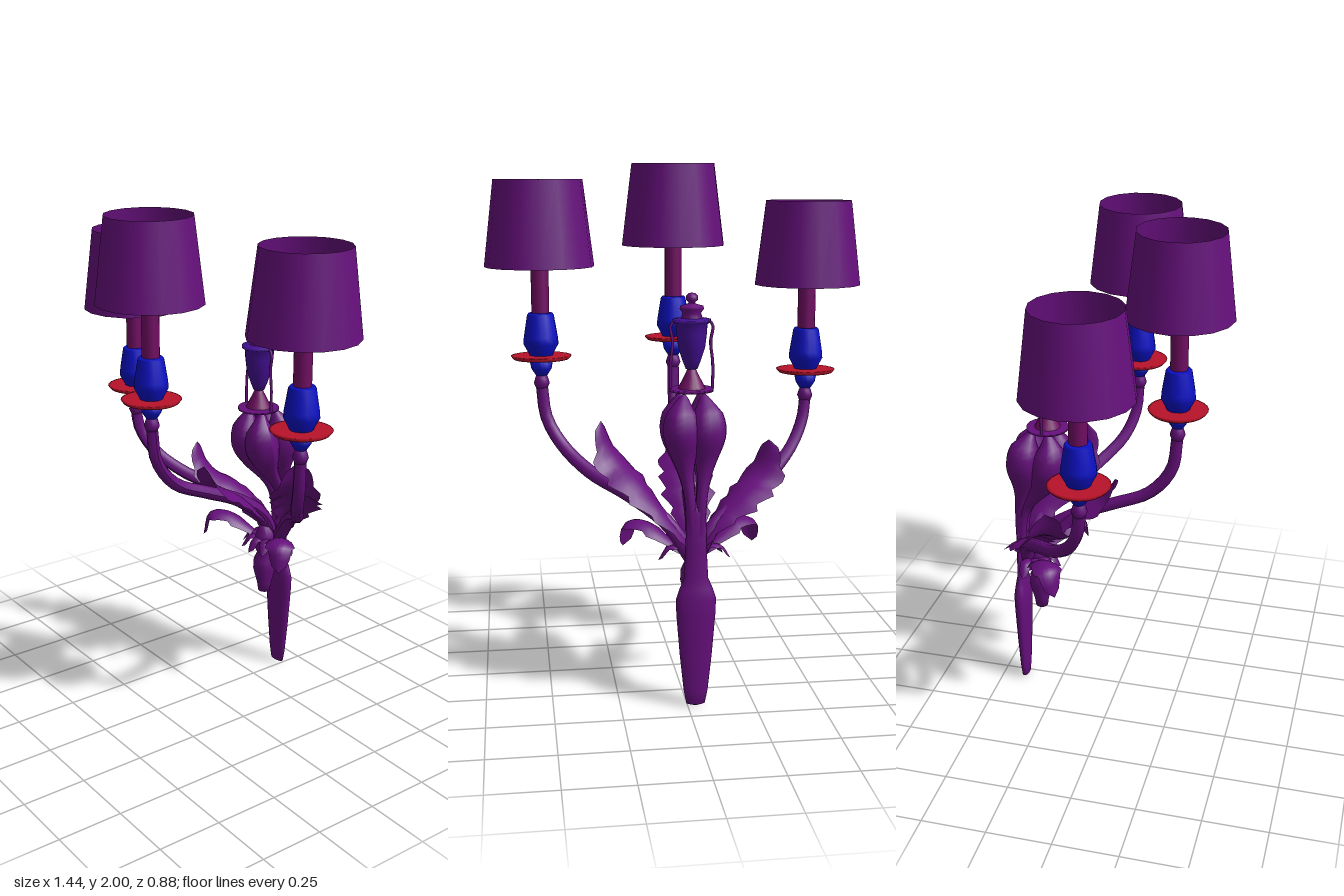
import * as THREE from 'three';

const mat = (color, side = THREE.FrontSide) => {
  const m = new THREE.MeshStandardMaterial({ color, side });
  return m;
};
const PURPLE = mat(0x660f7c), THIN = mat(0x660f7c, THREE.DoubleSide);
const PINK = mat(0x700d62), BLUE = mat(0x0c10c4), RED = mat(0xb8122a), VIOLET = mat(0x430f92);
const CX = -0.03; // axis of the bracket
const V = (p) => new THREE.Vector3(...p);

export function createModel() {
  const root = new THREE.Group();
  root.name = 'wallLamp';

  const add = (name, geo, material, pos = [0, 0, 0], parent = root) => {
    const mesh = new THREE.Mesh(geo, material);
    mesh.name = name;
    mesh.position.set(...pos);
    parent.add(mesh);
    return mesh;
  };
  const lathe = (pts, sides = 16) =>
    new THREE.LatheGeometry(pts.map(([r, y]) => new THREE.Vector2(r, y)), sides);

  // Tube along a smooth path whose radius follows a function of its length
  const sweep = (pts, radius, segs = 24, sides = 8) => {
    const curve = new THREE.CatmullRomCurve3(pts.map(V));
    const geo = new THREE.TubeGeometry(curve, segs, 1, sides);
    const pos = geo.attributes.position, v = new THREE.Vector3();
    for (let i = 0; i <= segs; i++) {
      const c = curve.getPointAt(i / segs), r = radius(i / segs);
      for (let j = 0; j <= sides; j++) {
        const k = i * (sides + 1) + j;
        v.fromBufferAttribute(pos, k).sub(c).multiplyScalar(r).add(c);
        pos.setXYZ(k, v.x, v.y, v.z);
      }
    }
    geo.computeVertexNormals();
    return geo;
  };

  // Leaf: cupped cross-sections along a path, with a toothed outline
  const leaf = (pts, width, teeth, cup) => {
    const curve = new THREE.CatmullRomCurve3(pts.map(V));
    const n = teeth * 4, cols = 7, pos = [], idx = [];
    const up = new THREE.Vector3(0, 1, 0);
    const chord = V(pts[pts.length - 1]).sub(V(pts[0]));
    for (let i = 0; i <= n; i++) {
      const t = i / n, c = curve.getPointAt(t), tan = curve.getTangentAt(t);
      const flat = new THREE.Vector3(tan.x, 0, tan.z).addScaledVector(chord, 0.6).setY(0).normalize();
      const side = new THREE.Vector3().crossVectors(up, flat);
      const normal = new THREE.Vector3().crossVectors(tan, side).normalize();
      const tooth = 0.72 + 0.28 * ((t * teeth) % 1);
      const taper = Math.min(1, 0.25 + 1.6 * t) * Math.sqrt(Math.max(0, Math.min(1, (1 - t) * 4)));
      const w = width * tooth * taper;
      for (let j = 0; j < cols; j++) {
        const s = (j / (cols - 1)) * 2 - 1;
        const p = c.clone().addScaledVector(side, s * w).addScaledVector(normal, -cup * w * s * s);
        pos.push(p.x, p.y, p.z);
        if (i < n && j < cols - 1) {
          const a = i * cols + j;
          idx.push(a, a + cols, a + 1, a + 1, a + cols, a + cols + 1);
        }
      }
    }
    const geo = new THREE.BufferGeometry();
    geo.setAttribute('position', new THREE.Float32BufferAttribute(pos, 3));
    geo.setIndex(idx);
    geo.computeVertexNormals();
    return geo;
  };

  // Wall stem: flattened tapering blade
  add('backStem', lathe([[0, 0], [0.035, 0.01], [0.045, 0.06], [0.06, 0.2], [0.073, 0.36], [0.075, 0.42],
    [0.062, 0.46], [0.045, 0.5], [0.04, 0.6], [0.036, 0.75], [0, 0.78]]), PURPLE, [CX, 0, -0.405]).scale.z = 0.42;

  // Hanging bud in front of the stem
  add('hangingBud', lathe([[0, 0.36], [0.025, 0.365], [0.03, 0.4], [0.048, 0.47], [0.046, 0.51],
    [0.032, 0.54], [0.046, 0.57], [0.04, 0.62], [0.025, 0.66], [0, 0.68]], 12), PURPLE, [CX, 0, -0.325]);

  // Lamps: position, plate height, shade bottom
  const lamps = [
    { name: 'rightLamp', x: -0.52, z: -0.015, y: 1.205, shade: 1.54 },
    { name: 'frontLamp', x: CX, z: 0.235, y: 1.31, shade: 1.68 },
    { name: 'leftLamp', x: 0.51, z: -0.04, y: 1.28, shade: 1.62 },
  ];
  for (const l of lamps) {
    const g = new THREE.Group();
    g.name = l.name;
    g.position.set(l.x, l.y, l.z);
    root.add(g);
    const s = l.shade - l.y;
    add('armBead', lathe([[0, -0.125], [0.022, -0.12], [0.03, -0.1], [0.024, -0.08], [0.018, -0.065], [0, -0.065]]),
      PURPLE, [0, 0, 0], g);
    add('cup', lathe([[0, -0.075], [0.022, -0.07], [0.038, -0.045], [0.046, -0.005], [0, -0.003]]), BLUE, [0, 0, 0], g);
    add('dripPlate', lathe([[0, -0.007], [0.105, -0.007], [0.115, 0.005], [0.105, 0.007], [0, 0.007]], 24), RED, [0, 0, 0], g);
    add('socket', lathe([[0.042, 0], [0.046, 0.012], [0.066, 0.05], [0.064, 0.075], [0.05, 0.16], [0.044, 0.167], [0, 0.167]]),
      BLUE, [0, 0, 0], g);
    add('candleStem', new THREE.CylinderGeometry(0.034, 0.034, s - 0.06, 14), PINK, [0, 0.16 + (s - 0.06) / 2, 0], g);
    add('shade', new THREE.CylinderGeometry(0.165, 0.205, 0.32, 16, 1, true), THIN, [0, s + 0.16, 0], g);
  }

  // Curved arms
  const arms = {
    rightArm: [[CX, 0.55, -0.37], [-0.1, 0.68, -0.36], [-0.24, 0.77, -0.27], [-0.36, 0.83, -0.16],
      [-0.46, 0.92, -0.07], [-0.51, 1.02, -0.025], [-0.52, 1.1, -0.015]],
    frontArm: [[CX, 0.55, -0.37], [CX, 0.7, -0.32], [CX, 0.81, -0.18], [CX, 0.88, -0.02],
      [CX, 0.95, 0.13], [CX, 1.06, 0.215], [CX, 1.2, 0.235]],
    leftArm: [[CX, 0.55, -0.37], [0.07, 0.7, -0.36], [0.2, 0.79, -0.28], [0.34, 0.86, -0.18],
      [0.44, 0.95, -0.09], [0.495, 1.05, -0.05], [0.51, 1.17, -0.04]],
  };
  for (const [name, pts] of Object.entries(arms)) add(name, sweep(pts, (t) => 0.03 - 0.007 * t), PURPLE);

  // Large toothed leaves riding on the arms
  const bigLeaves = [
    [[CX, 0.6, -0.38], [-0.11, 0.71, -0.36], [-0.22, 0.8, -0.3], [-0.3, 0.86, -0.23], [-0.34, 0.97, -0.2]],
    [[CX, 0.6, -0.38], [CX, 0.72, -0.29], [CX, 0.84, -0.17], [CX, 0.91, -0.06], [CX, 0.99, -0.01]],
    [[CX, 0.6, -0.38], [0.07, 0.73, -0.37], [0.17, 0.85, -0.32], [0.25, 0.93, -0.24], [0.3, 1.06, -0.21]],
  ];
  for (const pts of bigLeaves) add('armLeaf', leaf(pts, 0.115, 6, 0.35), THIN);

  // Drooping leaves between the arms and short sepals round the joint
  for (const s of [-1, 1]) {
    add('droopingLeaf', leaf([[CX, 0.56, -0.36], [CX + s * 0.08, 0.62, -0.32], [CX + s * 0.17, 0.68, -0.26],
      [CX + s * 0.235, 0.67, -0.21], [CX + s * 0.25, 0.57, -0.19]], 0.065, 4, 0.4), THIN);
  }
  for (let i = 0; i < 7; i++) {
    const a = (i / 6) * Math.PI, dx = Math.cos(a), dz = Math.sin(a);
    const at = (r, y) => [CX + dx * r, y, -0.36 + dz * r * 0.9];
    add('sepal', leaf([at(0.01, 0.55), at(0.05, 0.61), at(0.1, 0.61), at(0.135, 0.56)], 0.028, 3, 0.4), THIN);
  }

  // Cluster of swelling pods above the stem
  const podRadius = (t) => {
    const swell = Math.exp(-(((t - 0.76) / 0.2) ** 2));
    return (0.02 + 0.05 * swell) * Math.sqrt(Math.max(0, Math.min(1, (1 - t) * 7)));
  };
  for (const sx of [-1, 1]) for (const sz of [-1, 1]) {
    add('pod', sweep([[CX + sx * 0.01, 0.6, -0.4], [CX + sx * 0.022, 0.8, -0.39 + sz * 0.008],
      [CX + sx * 0.04, 0.95, -0.335 + sz * 0.04], [CX + sx * 0.047, 1.08, -0.31 + sz * 0.052],
      [CX + sx * 0.035, 1.18, -0.3 + sz * 0.03]], podRadius, 28, 12), PURPLE);
  }

  // Urn finial with side handles
  const urn = new THREE.Group();
  urn.name = 'urn';
  urn.position.set(CX, 0, -0.28);
  root.add(urn);
  add('urnPlate', lathe([[0, 1.178], [0.082, 1.178], [0.082, 1.188], [0, 1.188]], 20), PURPLE, [0, 0, 0], urn);
  add('urnFoot', lathe([[0.052, 1.185], [0.045, 1.2], [0.022, 1.245], [0.012, 1.27], [0, 1.275]]), PINK, [0, 0, 0], urn);
  add('urnBody', lathe([[0, 1.255], [0.022, 1.26], [0.034, 1.29], [0.05, 1.34], [0.056, 1.39], [0.058, 1.425],
    [0.07, 1.432], [0.07, 1.442], [0.042, 1.447]]), VIOLET, [0, 0, 0], urn);
  add('urnLid', lathe([[0.04, 1.445], [0.034, 1.465], [0.045, 1.48], [0.042, 1.49], [0.014, 1.498], [0.012, 1.503],
    [0.022, 1.512], [0.022, 1.526], [0.012, 1.536], [0, 1.538]]), PURPLE, [0, 0, 0], urn);
  for (const s of [-1, 1]) {
    add('urnHandle', sweep([[s * 0.06, 1.437, 0], [s * 0.078, 1.42, 0], [s * 0.07, 1.36, 0], [s * 0.078, 1.28, 0],
      [s * 0.078, 1.185, 0]], () => 0.006, 16, 6), PURPLE, [0, 0, 0], urn);
  }
  return root;
}
